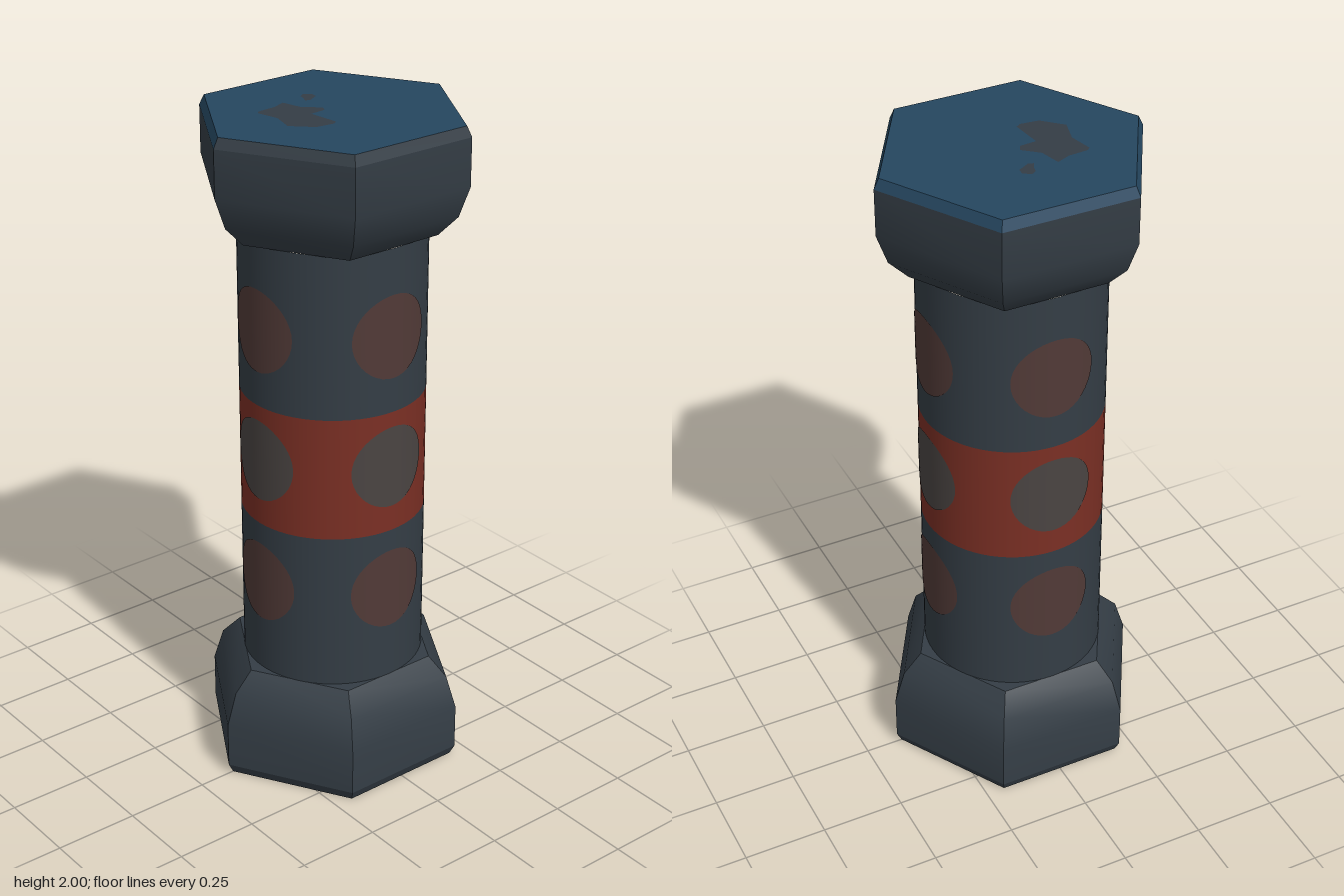
import * as THREE from 'three';
import { toCreasedNormals } from 'three/addons/utils/BufferGeometryUtils.js';

const material = (name, color) => new THREE.MeshStandardMaterial({ name, color });
const SHAFT = 0.27;

// Hexagonal lathe with corners on the z axis; smooth along the profile, sharp at the corners
function hex(profile, start = 0, sides = 6) {
  const pts = profile.map(([r, y]) => new THREE.Vector2(r, y));
  const geo = new THREE.LatheGeometry(pts, sides, (start * Math.PI) / 3, (sides * Math.PI) / 3);
  return toCreasedNormals(geo, 0.5);
}

// Flat outline filled as a thin face
function outline(points) {
  return new THREE.ShapeGeometry(new THREE.Shape(points.map(([x, y]) => new THREE.Vector2(x, y))));
}

// Round spot wrapped onto the shaft
function spotGeometry(radius) {
  const geo = new THREE.RingGeometry(0, radius, 40, 8);
  const pos = geo.attributes.position;
  const R = SHAFT + 0.002;
  for (let i = 0; i < pos.count; i++) {
    const x = pos.getX(i);
    const z = Math.sqrt(R * R - x * x);
    pos.setZ(i, z);
    geo.attributes.normal.setXYZ(i, x / R, 0, z / R);
  }
  return geo;
}

export function createModel() {
  const model = new THREE.Group();
  model.name = 'hexHeadedPillar';
  const steel = material('dark steel', 0x343d45);
  const red = material('rust red', 0x7a2f24);
  const rust = material('faded rust', 0x513a37);
  const worn = material('worn grey', 0x4a4442);
  const blue = material('blue paint', 0x25465f);

  const add = (name, geo, mat, parent = model) => {
    const mesh = new THREE.Mesh(geo, mat);
    mesh.name = name;
    parent.add(mesh);
    return mesh;
  };

  // Base: flat bottom, small chamfer, upright sides, rounded shoulder
  add('baseBottom', hex([[0, 0], [0.385, 0]]), steel);
  add('baseChamfer', hex([[0.385, 0], [0.4, 0.03]]), steel);
  add('baseSides', hex([[0.4, 0.03], [0.4, 0.17], [0.368, 0.27], [0.31, 0.33]]), steel);
  add('baseShoulder', hex([[0.31, 0.33], [0, 0.33]]), steel);

  // Head: the base mirrored, with a painted top
  add('headUnderside', hex([[0, 1.68], [0.31, 1.68]]), steel);
  add('headSides', hex([[0.31, 1.68], [0.368, 1.74], [0.4, 1.83], [0.4, 1.97]]), steel);
  for (let k = 0; k < 6; k++) {
    add('headChamfer', hex([[0.4, 1.97], [0.385, 2]], k, 1), k < 2 ? steel : blue);
  }
  add('headTop', hex([[0.385, 2], [0, 2]]), blue);

  // Shaft in three bands
  [[0.33, 0.815, steel, 'lowerShaft'], [0.815, 1.19, red, 'middleBand'], [1.19, 1.68, steel, 'upperShaft']]
    .forEach(([y0, y1, mat, name]) => {
      const geo = new THREE.CylinderGeometry(SHAFT, SHAFT, y1 - y0, 64, 1, true);
      add(name, geo, mat).position.y = (y0 + y1) / 2;
    });

  // Three rows of four spots
  const spot = spotGeometry(0.125);
  [[0.625, rust], [1.02, worn], [1.42, rust]].forEach(([y, mat]) => {
    for (let k = 0; k < 4; k++) {
      const mesh = add('shaftSpot', spot, mat);
      mesh.position.y = y;
      mesh.rotation.y = (k * Math.PI) / 2;
    }
  });

  // Bare patches in the paint on top
  const patches = [
    [[-0.133, -0.07], [-0.07, -0.055], [-0.03, -0.01], [-0.01, -0.02], [-0.005, -0.07], [0.09, -0.06],
      [0.1, -0.075], [0.095, -0.13], [0.07, -0.155], [0.04, -0.185], [-0.03, -0.165], [-0.1, -0.18],
      [-0.11, -0.17], [-0.115, -0.11]],
    [[-0.16, 0.02], [-0.145, 0.042], [-0.125, 0.04], [-0.105, 0.005], [-0.11, -0.01], [-0.13, 0], [-0.15, 0.005]],
  ];
  for (const points of patches) {
    const mesh = add('barePatch', outline(points), steel);
    mesh.rotation.x = -Math.PI / 2;
    mesh.position.y = 2.001;
  }

  // Paint run down the rear face of the head on the left
  const drip = add('paintDrip', outline([[-0.2, 1.97], [-0.13, 1.96], [-0.1, 1.92], [-0.05, 1.92],
    [-0.03, 1.89], [0.03, 1.88], [0.07, 1.9], [0.11, 1.9], [0.13, 1.94], [0.17, 1.95], [0.2, 1.97]]), blue);
  const angle = (5 * Math.PI) / 6;
  drip.rotation.y = angle;
  drip.position.set(Math.sin(angle) * 0.348, 0, Math.cos(angle) * 0.348);

  return model;
}
